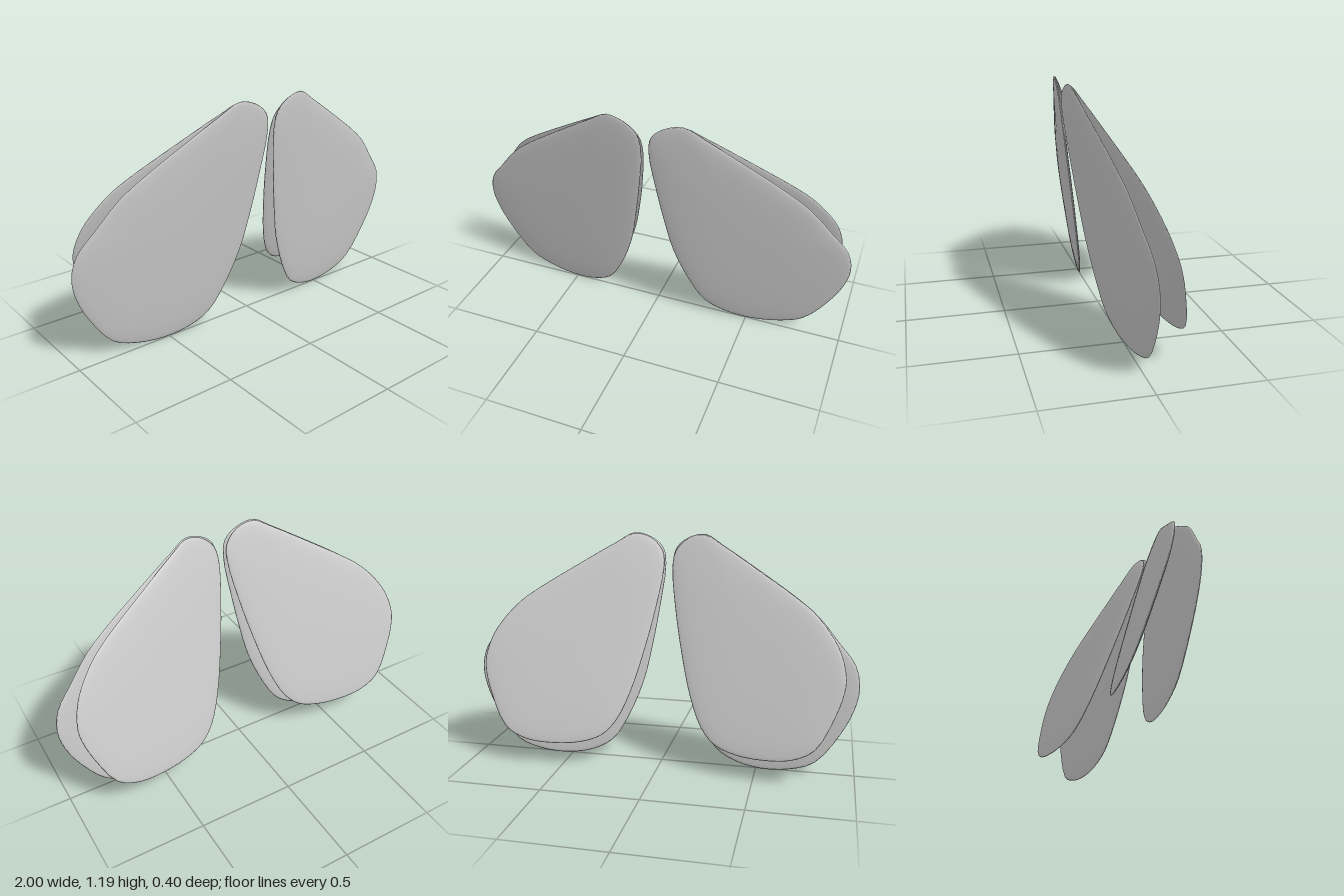
import * as THREE from 'three';

const material = new THREE.MeshStandardMaterial({ color: 0xcccccc });

// Outlines of the left wings (x, y), counter-clockwise seen from the front
const foreOutline = [
  [0.19, 1.19], [0.1, 1.17], [0.035, 1.115], [0.018, 1.03], [0.045, 0.8], [0.08, 0.59], [0.12, 0.41],
  [0.2, 0.21], [0.28, 0.085], [0.39, 0.025], [0.53, 0.003], [0.68, 0.02], [0.8, 0.07], [0.92, 0.23],
  [0.98, 0.36], [1, 0.47], [0.975, 0.58], [0.89, 0.685], [0.78, 0.81], [0.67, 0.895], [0.5, 1.005], [0.28, 1.14],
];
const hindOutline = [
  [0.19, 1.185], [0.1, 1.165], [0.035, 1.1], [0.022, 1.02], [0.05, 0.82], [0.1, 0.59], [0.16, 0.38],
  [0.225, 0.24], [0.3, 0.165], [0.41, 0.13], [0.55, 0.122], [0.69, 0.14], [0.8, 0.2], [0.89, 0.37],
  [0.925, 0.48], [0.93, 0.55], [0.9, 0.66], [0.84, 0.755], [0.76, 0.84], [0.67, 0.905], [0.5, 1.01], [0.28, 1.14],
];

// Thin pillow: the outline shrinks to its middle on both faces, then leans
// into the plane z = z0 + slopeX * (|x| - 0.19) + slopeY * (y - 1.19)
function wing(name, outline, side, { z0, slopeX, slopeY, half }) {
  const segments = 66, rings = 20;
  const points = outline.map(([x, y]) => new THREE.Vector3(side * x, y, 0));
  if (side < 0) points.reverse();
  const rim = new THREE.CatmullRomCurve3(points, true).getPoints(segments).slice(0, segments);
  const middle = rim.reduce((sum, p) => sum.add(p), new THREE.Vector3()).divideScalar(segments);

  const position = [], index = [];
  for (let i = 0; i <= rings; i++) {
    const angle = (i / rings) * Math.PI;
    const spread = Math.pow(Math.max(0, Math.sin(angle)), 0.65);
    const bulge = half * Math.cos(angle);
    for (let j = 0; j < segments; j++) {
      const p = middle.clone().lerp(rim[j], spread);
      const z = z0 + slopeX * (Math.abs(p.x) - 0.19) + slopeY * (p.y - 1.19) + bulge;
      position.push(p.x, p.y, z);
      if (i === rings) continue;
      const k = (j + 1) % segments;
      const a = i * segments + j, b = a + segments, c = (i + 1) * segments + k, d = i * segments + k;
      if (i < rings - 1) index.push(a, b, c);
      else index.push(a, b, d);
      if (i > 0 && i < rings - 1) index.push(a, c, d);
    }
  }
  const geometry = new THREE.BufferGeometry();
  geometry.setAttribute('position', new THREE.Float32BufferAttribute(position, 3));
  geometry.setIndex(index);
  geometry.computeVertexNormals();
  const mesh = new THREE.Mesh(geometry, material);
  mesh.name = name;
  return mesh;
}

export function createModel() {
  const model = new THREE.Group();
  model.name = 'wings';
  const foreLean = { z0: 0.183, slopeX: -0.118, slopeY: 0.125, half: 0.019 };
  const hindLean = { z0: 0.178, slopeX: -0.135, slopeY: 0.294, half: 0.019 };
  for (const [label, side] of [['left', 1], ['right', -1]]) {
    model.add(wing(label + 'FrontWing', foreOutline, side, foreLean));
    model.add(wing(label + 'BackWing', hindOutline, side, hindLean));
  }
  return model;
}
